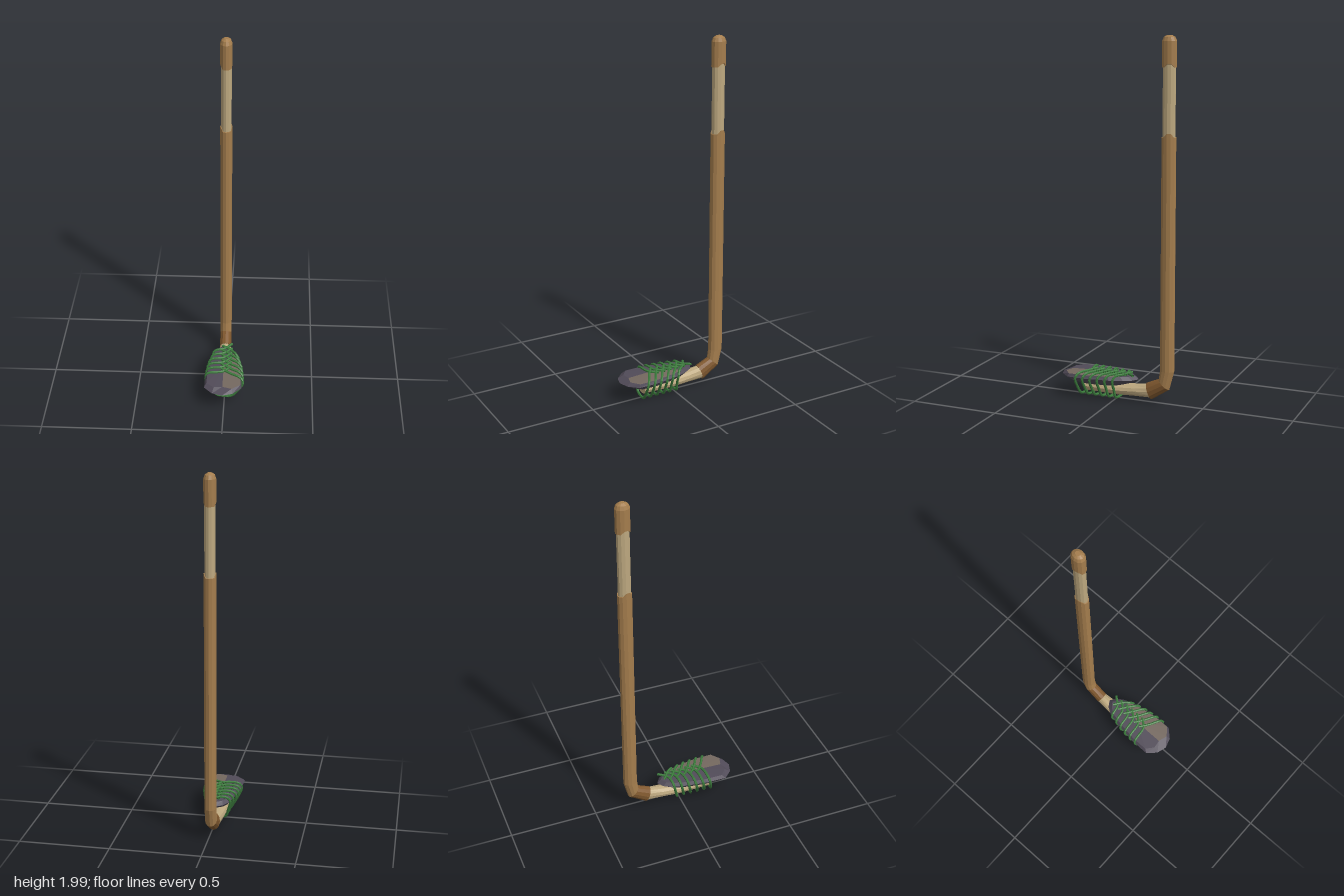
import * as THREE from 'three';

const mat = (name, color, extra = {}) =>
  Object.assign(new THREE.MeshStandardMaterial({ color, flatShading: true, ...extra }), { name });

// Pushes the triangles of a skin stretched over equal-sized rings of points
function skin(tris, rings) {
  for (let i = 0; i < rings.length - 1; i++) {
    const A = rings[i], B = rings[i + 1], n = A.length;
    for (let j = 0; j < n; j++) {
      const k = (j + 1) % n;
      tris.push(A[j], A[k], B[k], A[j], B[k], B[j]);
    }
  }
}

// Pushes a fan from a centre point over ring corners from..to
function fan(tris, centre, ring, from = 0, to = ring.length, flip = false) {
  for (let j = from; j < to; j++) {
    const a = ring[j % ring.length], b = ring[(j + 1) % ring.length];
    tris.push(centre, flip ? b : a, flip ? a : b);
  }
}

function meshOf(name, tris, material) {
  const g = new THREE.BufferGeometry().setFromPoints(tris);
  g.computeVertexNormals();
  const m = new THREE.Mesh(g, material);
  m.name = name;
  return m;
}

const middle = (ring) =>
  ring.reduce((s, p) => s.add(p), new THREE.Vector3()).divideScalar(ring.length);

// Oval ring around the handle path; tilt 0 points down, -90 points forward
function oval(y, z, rx, rz, tilt = 0, jag = 0) {
  const a = THREE.MathUtils.degToRad(tilt), pts = [];
  for (let j = 0; j < 12; j++) {
    const t = (j / 12) * Math.PI * 2, s = Math.sin(t) * rz;
    const w = jag * Math.cos(2 * t + (j % 2));
    pts.push(new THREE.Vector3(-0.011 + Math.cos(t) * rx,
      y - Math.sin(a) * s + w, z + Math.cos(a) * s));
  }
  return pts;
}

function solid(name, rings, material) {
  const tris = [], last = rings[rings.length - 1];
  skin(tris, rings);
  fan(tris, middle(rings[0]), rings[0], 0, 12, true);
  fan(tris, middle(last), last);
  return meshOf(name, tris, material);
}

export function createModel() {
  const group = new THREE.Group();
  const bark = mat('bark', 0xa47d4d);
  const darkBark = mat('dark bark', 0x81592f);
  const bareWood = mat('bare wood', 0xbda87f);
  const stone = mat('dark stone', 0x514b58);
  const stoneFace = mat('worn stone', 0x74685f);
  const cord = mat('green cord', 0x3b7a3c, { side: THREE.DoubleSide });
  const Z = -0.289;

  // Handle
  group.add(
    solid('handleCap', [
      oval(2, Z, 0.012, 0.015), oval(1.99, Z, 0.026, 0.032), oval(1.97, Z, 0.033, 0.041),
      oval(1.84, Z, 0.033, 0.041, 0, 0.012)], bark),
    solid('grip', [oval(1.88, Z, 0.029, 0.036), oval(1.44, Z, 0.029, 0.036)], bareWood),
    solid('shaft', [
      oval(1.475, Z, 0.033, 0.041, 0, 0.014), oval(0.19, Z, 0.033, 0.041),
      oval(0.112, -0.272, 0.033, 0.041, -42)], bark),
    solid('bend', [
      oval(0.112, -0.272, 0.033, 0.041, -42), oval(0.063, -0.185, 0.034, 0.048, -70)], darkBark),
    solid('foot', [
      oval(0.066, -0.2, 0.031, 0.042, -72), oval(0.06, -0.1, 0.04, 0.034, -88),
      oval(0.055, 0, 0.045, 0.033, -90), oval(0.058, 0.19, 0.045, 0.032, -90)], bareWood));

  // Stone blade: outline x, z and the inset of the top face, from the tip counterclockwise
  const outline = [
    [-0.008, 0.33, 0.76], [0.05, 0.312, 0.9], [0.098, 0.262, 0.95], [0.1, 0.16, 0.93],
    [0.08, 0.02, 0.9], [0.056, -0.055, 0.88], [0.03, -0.098, 0.88], [-0.008, -0.123, 0.9],
    [-0.045, -0.1, 0.88], [-0.07, -0.06, 0.88], [-0.09, 0.02, 0.88], [-0.11, 0.15, 0.88],
    [-0.112, 0.265, 0.88], [-0.065, 0.313, 0.85]];
  const level = (y, scale) => outline.map(([x, z, inset]) => {
    const s = scale ?? inset;
    return new THREE.Vector3(-0.008 + (x + 0.008) * s, y, 0.1 + (z - 0.1) * s);
  });
  const top = level(0.14), bottom = level(0.08, 0.55);
  const peak = new THREE.Vector3(-0.008, 0.147, 0.1);
  const body = [], worn = [];
  skin(body, [bottom, level(0.098, 0.82), level(0.122, 1), top]);
  fan(body, middle(bottom), bottom, 0, bottom.length, true);
  fan(body, peak, top, 5, 14);
  fan(worn, peak, top, 0, 5);
  group.add(meshOf('blade', body, stone), meshOf('bladeWornFace', worn, stoneFace));

  // Cord lashing: six turns crossing on top of the blade
  const lashing = new THREE.Group();
  lashing.name = 'lashing';
  const left = [0.077, 0.086, 0.097, 0.103, 0.107, 0.109];
  const right = [0.074, 0.085, 0.095, 0.1, 0.104, 0.106];
  for (let i = 0; i < 6; i++) {
    const z = -0.045 + 0.042 * i, l = left[i], r = right[i];
    const path = [
      [0.033, 0.151, -0.06], [-0.01, 0.151, -0.013], [-l + 0.015, 0.145, -0.002],
      [-l, 0.12, 0.003], [-l * 0.84, 0.07, 0.016], [-0.048, 0.02, 0.03],
      [-0.005, 0.013, 0.035], [0.04, 0.02, 0.04], [r * 0.75, 0.07, 0.045],
      [r, 0.12, 0.046], [r - 0.015, 0.145, 0.033], [0.03, 0.15, 0], [-0.022, 0.154, -0.036],
    ].map(([x, y, dz]) => new THREE.Vector3(x, y, z + dz));
    const turn = new THREE.Mesh(
      new THREE.TubeGeometry(new THREE.CatmullRomCurve3(path, false, 'centripetal'), 40, 0.0075, 6), cord);
    turn.name = 'cordTurn';
    lashing.add(turn);
  }
  group.add(lashing);
  return group;
}
